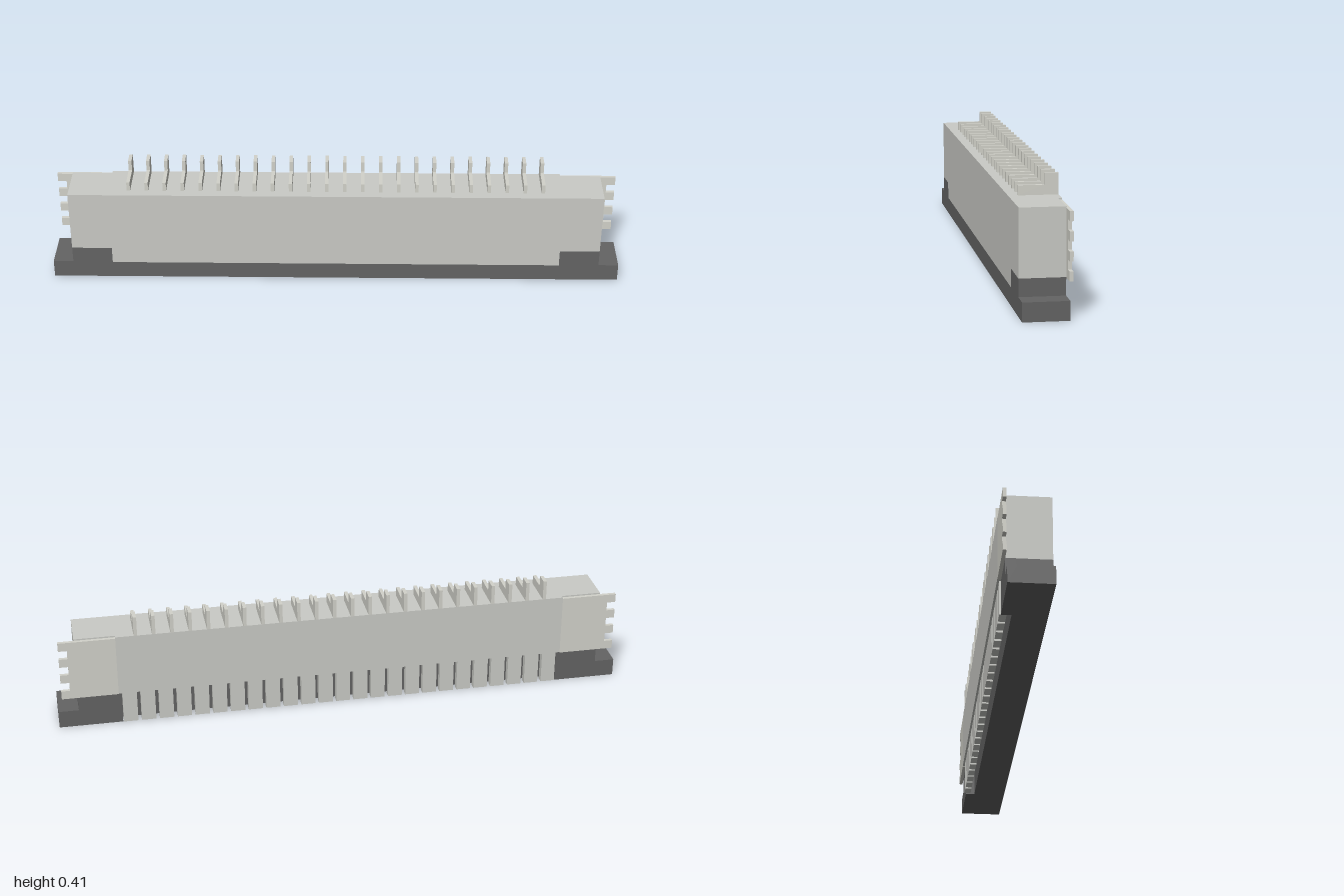
import * as THREE from 'three';

const mat = (color) => new THREE.MeshStandardMaterial({ color });

export function createModel() {
  const root = new THREE.Group();
  const bodyMat = mat(0xcacbc6), metalMat = mat(0xd3d3cb), darkMat = mat(0x646464);

  const add = (name, geometry, material, parent = root) => {
    const m = new THREE.Mesh(geometry, material);
    m.name = name;
    parent.add(m);
    return m;
  };
  // box given by its min and max corners
  const box = (x0, x1, y0, y1, z0, z1) =>
    new THREE.BoxGeometry(x1 - x0, y1 - y0, z1 - z0)
      .translate((x0 + x1) / 2, (y0 + y1) / 2, (z0 + z1) / 2);
  // outline in the x-y plane, extruded from z0 to z1
  const slab = (pts, z0, z1) =>
    new THREE.ExtrudeGeometry(new THREE.Shape(pts.map(([x, y]) => new THREE.Vector2(x, y))),
      { depth: z1 - z0, bevelEnabled: false }).translate(0, 0, z0);

  const FRONT = 0.08, BACK = -0.08, STEP = -0.068, WALL = -0.035;
  const INNER = 0.79, BODY = 0.93;

  // housing: plan outline with rear corners cut away for the side brackets
  const plan = [[-BODY, -FRONT], [BODY, -FRONT], [BODY, -STEP], [INNER, -STEP],
    [INNER, -BACK], [-INNER, -BACK], [-INNER, -STEP], [-BODY, -STEP]];
  add('housing', slab(plan, 0.12, 0.34).rotateX(-Math.PI / 2), bodyMat);
  add('housingLowerFront', box(-INNER, INNER, 0.06, 0.12, -0.02, FRONT), bodyMat);

  // dark actuator bar with raised ends
  const bar = [[-1, 0], [1, 0], [1, 0.062], [BODY, 0.062], [BODY, 0.12], [INNER, 0.12],
    [INNER, 0.06], [-INNER, 0.06], [-INNER, 0.12], [-BODY, 0.12], [-BODY, 0.062], [-1, 0.062]];
  add('actuatorBar', slab(bar, WALL, FRONT), darkMat);
  add('recessWall', box(-INNER, INNER, 0.06, 0.12, WALL, -0.02), darkMat);

  for (const s of [1, -1]) {
    const side = s > 0 ? 'left' : 'right';

    // rear part of the raised bar end
    const end = [[0.78, 0], [1, 0], [1, 0.062], [BODY, 0.062], [BODY, 0.12], [0.78, 0.12]];
    add(side + 'BarEnd', slab(end.map(([x, y]) => [s * x, y]), STEP, WALL), darkMat);

    // side bracket with four teeth on its outer edge
    const edge = [[INNER, 0.118]];
    const pitch = 0.031;
    for (let i = 0; i < 7; i++) {
      const x = i % 2 ? 0.955 : 0.985;
      edge.push([x, 0.118 + i * pitch], [x, 0.118 + (i + 1) * pitch]);
    }
    edge.push([INNER, 0.335]);
    add(side + 'Bracket', slab(edge.map(([x, y]) => [s * x, y]), BACK, STEP), metalMat);
  }

  // upper contacts: stepped blades along the top
  const contacts = new THREE.Group();
  contacts.name = 'upperContacts';
  root.add(contacts);
  const PITCH = 0.0627, W = 0.012;
  const blade = slab([[-0.048, 0.34], [0.08, 0.34], [0.08, 0.41], [0.036, 0.41],
    [0.036, 0.372], [-0.048, 0.372]], -W / 2, W / 2).rotateY(Math.PI / 2);
  for (let i = 0; i < 24; i++) {
    add('upperContact', blade, metalMat, contacts).position.x = (i - 11.5) * PITCH;
  }

  // lower tabs: a row of flat fingers in the rear recess
  const tabs = new THREE.Group();
  tabs.name = 'lowerTabs';
  root.add(tabs);
  const tab = box(-0.025, 0.025, 0.002, 0.12, -0.073, -0.05);
  for (let i = 0; i < 25; i++) {
    add('lowerTab', tab, bodyMat, tabs).position.x = (i - 12) * PITCH;
  }

  return root;
}
